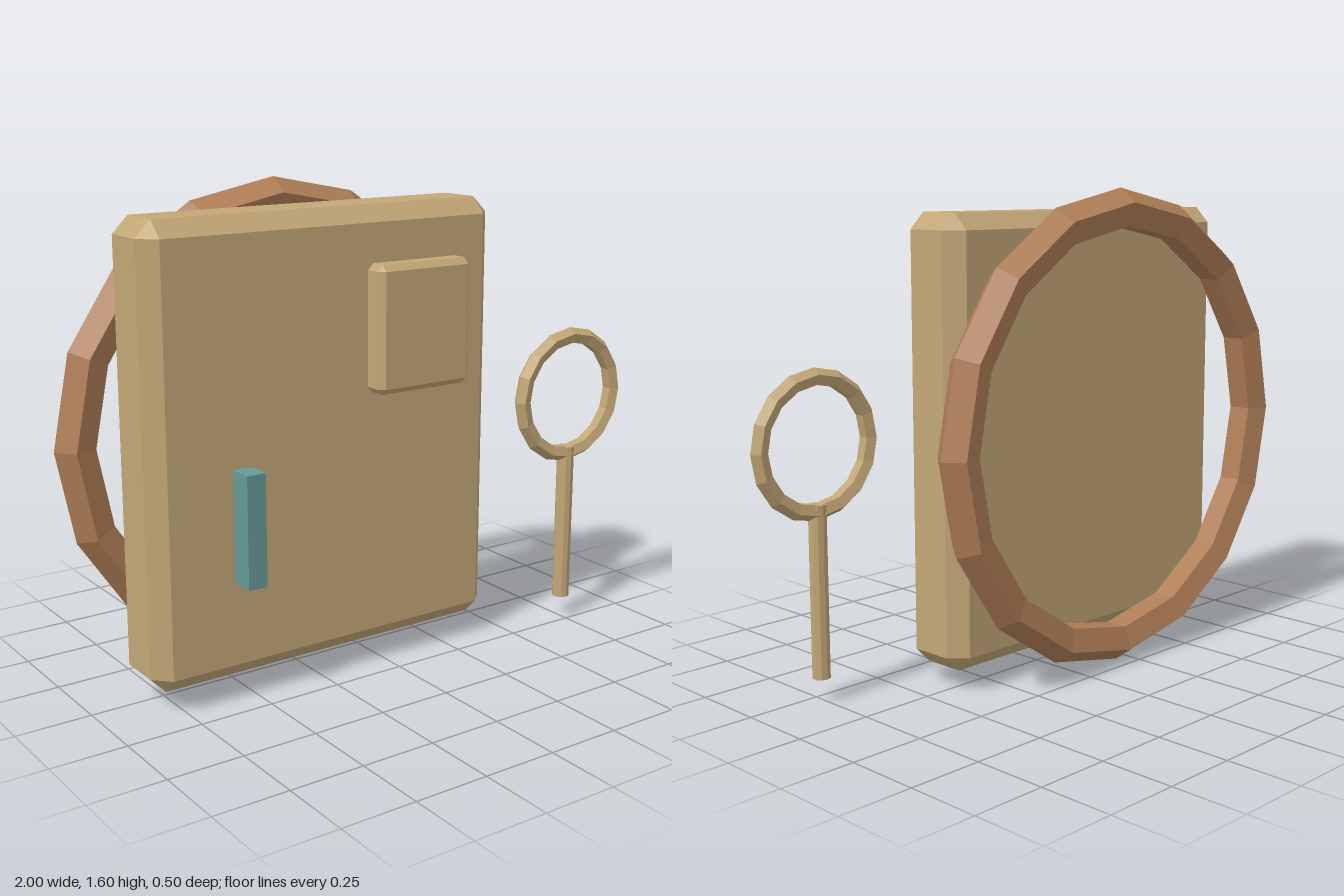
import * as THREE from 'three';
import { ConvexGeometry } from 'three/addons/geometries/ConvexGeometry.js';

function material(name, color) {
  const m = new THREE.MeshStandardMaterial({ color, flatShading: true });
  m.name = name;
  return m;
}

// Box with every edge cut at 45 degrees, given by its minimum and maximum corners
function chamferedBox(min, max, bevel) {
  const points = [];
  for (let corner = 0; corner < 8; corner++) {
    const signs = [0, 1, 2].map((axis) => ((corner >> axis) & 1 ? 1 : -1));
    for (let face = 0; face < 3; face++) {
      points.push(new THREE.Vector3(...signs.map((s, axis) =>
        (s > 0 ? max[axis] : min[axis]) - (axis === face ? 0 : s * bevel))));
    }
  }
  return new ConvexGeometry(points);
}

// Upright ring with a five-sided section
function ring(outer, tube, x, y, z) {
  return new THREE.TorusGeometry(outer - tube, tube, 5, 16).translate(x, y, z);
}

export function createModel() {
  const tan = material('tan', 0xc2a676);
  const copper = material('copper', 0xb07e57);
  const teal = material('teal', 0x659a96);

  const model = new THREE.Group();
  const add = (name, geometry, mat) => {
    const mesh = new THREE.Mesh(geometry, mat);
    mesh.name = name;
    model.add(mesh);
  };

  // Main slab and the raised plate on its front
  add('panel', chamferedBox([-0.85, 0.07, -0.085], [0.445, 1.53, 0.165], 0.053), tan);
  add('raisedPlate', chamferedBox([-0.075, 0.935, 0.15], [0.29, 1.35, 0.24], 0.02), tan);

  // Upright bar handle
  add('handle', new THREE.BoxGeometry(0.066, 0.365, 0.085).translate(-0.54, 0.577, 0.2045), teal);

  // Large ring behind the panel
  add('backRing', ring(0.8, 0.068, -0.2, 0.803, -0.187), copper);

  // Key: ring bow on a round stem
  add('keyRing', ring(0.24, 0.029, 0.757, 0.826, 0.21), tan);
  add('keyStem', new THREE.CylinderGeometry(0.03, 0.03, 0.56, 10).translate(0.757, 0.36, 0.21), tan);

  return model;
}
